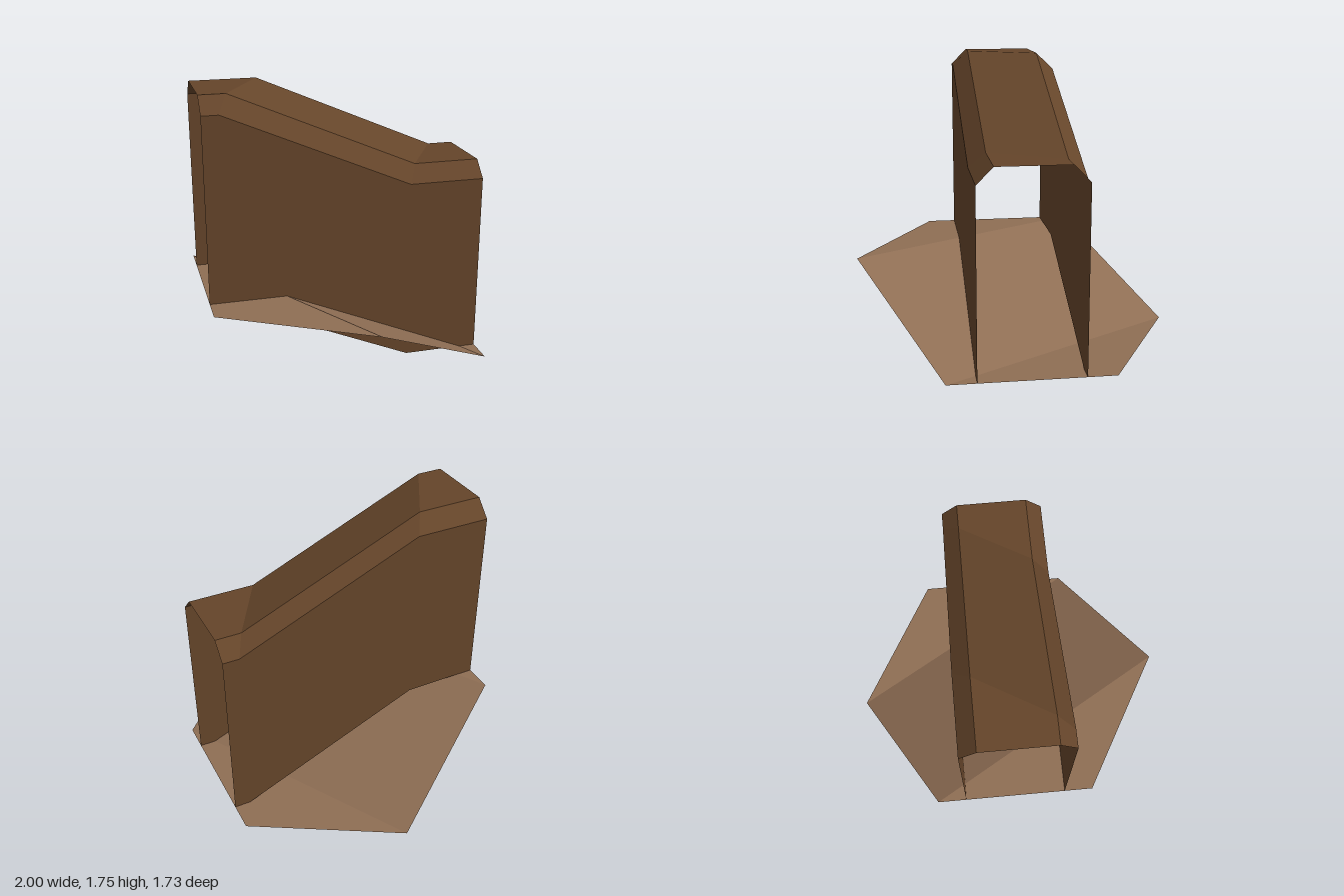
import * as THREE from 'three';

const S = Math.sqrt(3) / 2; // apothem of the unit hexagon

// Flat-shaded surface from a list of four- or three-cornered faces
function faceMesh(name, faces, material) {
  const points = [];
  for (const [a, b, c, d] of faces) {
    points.push(a, b, c);
    if (d) points.push(a, c, d);
  }
  const geometry = new THREE.BufferGeometry().setFromPoints(points);
  geometry.computeVertexNormals();
  const mesh = new THREE.Mesh(geometry, material);
  mesh.name = name;
  return mesh;
}

export function createModel() {
  const group = new THREE.Group();
  group.name = 'slopedWallTile';

  const earth = new THREE.MeshStandardMaterial({ color: 0x8f6e54, side: THREE.DoubleSide });
  earth.name = 'earth brown';
  const timber = new THREE.MeshStandardMaterial({ color: 0x65452a, side: THREE.DoubleSide });
  timber.name = 'dark brown';

  // Hexagonal ground: raised corner, ramp, low corner
  const v = (x, y, z) => new THREE.Vector3(x, y, z);
  const left = v(-1, 0.5, 0), frontLeft = v(-0.5, 0.5, S), frontRight = v(0.5, 0.5, S);
  const right = v(1, 0, 0), backRight = v(0.5, 0, -S), backLeft = v(-0.5, 0, -S);
  group.add(
    faceMesh('upperGround', [[left, frontLeft, frontRight]], earth),
    faceMesh('groundRamp', [[left, frontRight, right, backLeft]], earth),
    faceMesh('lowerGround', [[right, backRight, backLeft]], earth)
  );

  // Wall: open-ended bevelled shell running edge to edge, stepping down with x
  const drop = x => 0.25 - 0.5 * THREE.MathUtils.clamp(x, -0.5, 0.5);
  // Section as [offset across the wall, height above its foot]
  const section = [[0.32, 0], [0.32, 1.15], [0.22, 1.25], [-0.22, 1.25], [-0.32, 1.15], [-0.32, 0]];
  const rows = section.map(([o, h]) => {
    const end = 0.5 * o;
    const xs = [end - S * S, -0.5, 0.5, end + S * S];
    return xs.map(x => v(x, drop(x) + h, (o - 0.5 * x) / S));
  });
  const names = ['wallFront', 'wallFrontBevel', 'wallTop', 'wallBackBevel', 'wallBack'];
  names.forEach((name, i) => {
    const a = rows[i], b = rows[i + 1], faces = [];
    for (let j = 0; j < 3; j++) faces.push([a[j], a[j + 1], b[j + 1], b[j]]);
    group.add(faceMesh(name, faces, timber));
  });

  return group;
}
